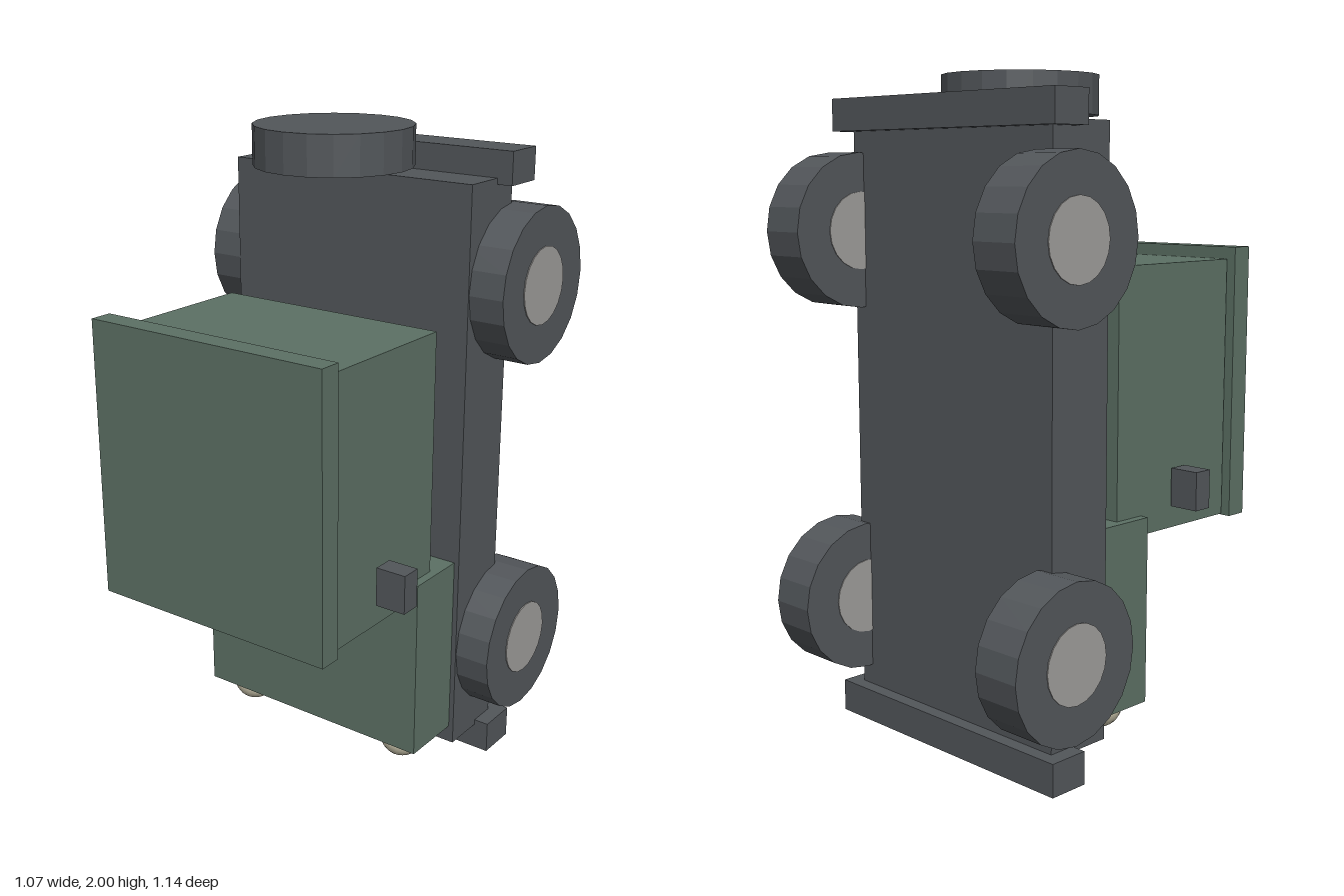
import * as THREE from 'three';

function paint(name, color, flatShading = false) {
  const m = new THREE.MeshStandardMaterial({ color, flatShading });
  m.name = name;
  return m;
}

export function createModel() {
  const model = new THREE.Group();
  model.name = 'uprightTruck';

  const charcoal = paint('charcoal', 0x52565a, true);
  const green = paint('sageGreen', 0x5c7064);
  const hubGrey = paint('hubGrey', 0x9e9c9a, true);
  const cream = paint('lampCream', 0xcfc9b0);

  function add(name, geometry, material, x, y, z, parent = model) {
    const mesh = new THREE.Mesh(geometry, material);
    mesh.name = name;
    mesh.position.set(x, y, z);
    parent.add(mesh);
    return mesh;
  }

  // Box given by its extents on each axis
  function box(name, material, [x0, x1], [y0, y1], [z0, z1]) {
    return add(name, new THREE.BoxGeometry(x1 - x0, y1 - y0, z1 - z0), material,
      (x0 + x1) / 2, (y0 + y1) / 2, (z0 + z1) / 2);
  }

  // Chassis and bumpers, with the nose pointing down
  box('chassis', charcoal, [-0.42, 0.42], [0.083, 1.858], [-0.322, -0.1]);
  box('frontBumper', charcoal, [-0.468, 0.468], [0, 0.1], [-0.365, -0.236]);
  box('rearBumper', charcoal, [-0.468, 0.468], [1.84, 1.937], [-0.365, -0.236]);

  // Bodywork
  box('hood', green, [-0.404, 0.404], [0.138, 0.71], [-0.1, 0.103]);
  box('cabin', green, [-0.377, 0.377], [0.65, 1.455], [-0.005, 0.495]);
  box('roof', green, [-0.404, 0.404], [0.645, 1.492], [0.5, 0.57]);

  // Wheels with hubs running through both faces
  const tyre = new THREE.CylinderGeometry(0.234, 0.234, 0.154, 20).rotateZ(Math.PI / 2);
  const hub = new THREE.CylinderGeometry(0.117, 0.117, 0.16, 20).rotateZ(Math.PI / 2);
  const lamp = new THREE.SphereGeometry(0.07, 20, 14);

  for (const [side, s] of [['left', 1], ['right', -1]]) {
    for (const [end, y] of [['Front', 0.397], ['Rear', 1.544]]) {
      const wheel = new THREE.Group();
      wheel.name = `${side}${end}Wheel`;
      wheel.position.set(s * 0.453, y, -0.337);
      add('tyre', tyre, charcoal, 0, 0, 0, wheel);
      add('hub', hub, hubGrey, 0, 0, 0, wheel);
      model.add(wheel);
    }
    // Side mirrors and headlights
    const mx = [s * 0.387, s * 0.483].sort((a, b) => a - b);
    box(`${side}Mirror`, charcoal, mx, [0.72, 0.838], [0.23, 0.294]);
    add(`${side}Headlight`, lamp, cream, s * 0.3, 0.129, 0.01);
  }

  // Spare wheel behind the cabin
  add('spareWheel', new THREE.CylinderGeometry(0.234, 0.234, 0.117, 20), charcoal, 0, 1.9415, -0.028);

  return model;
}
